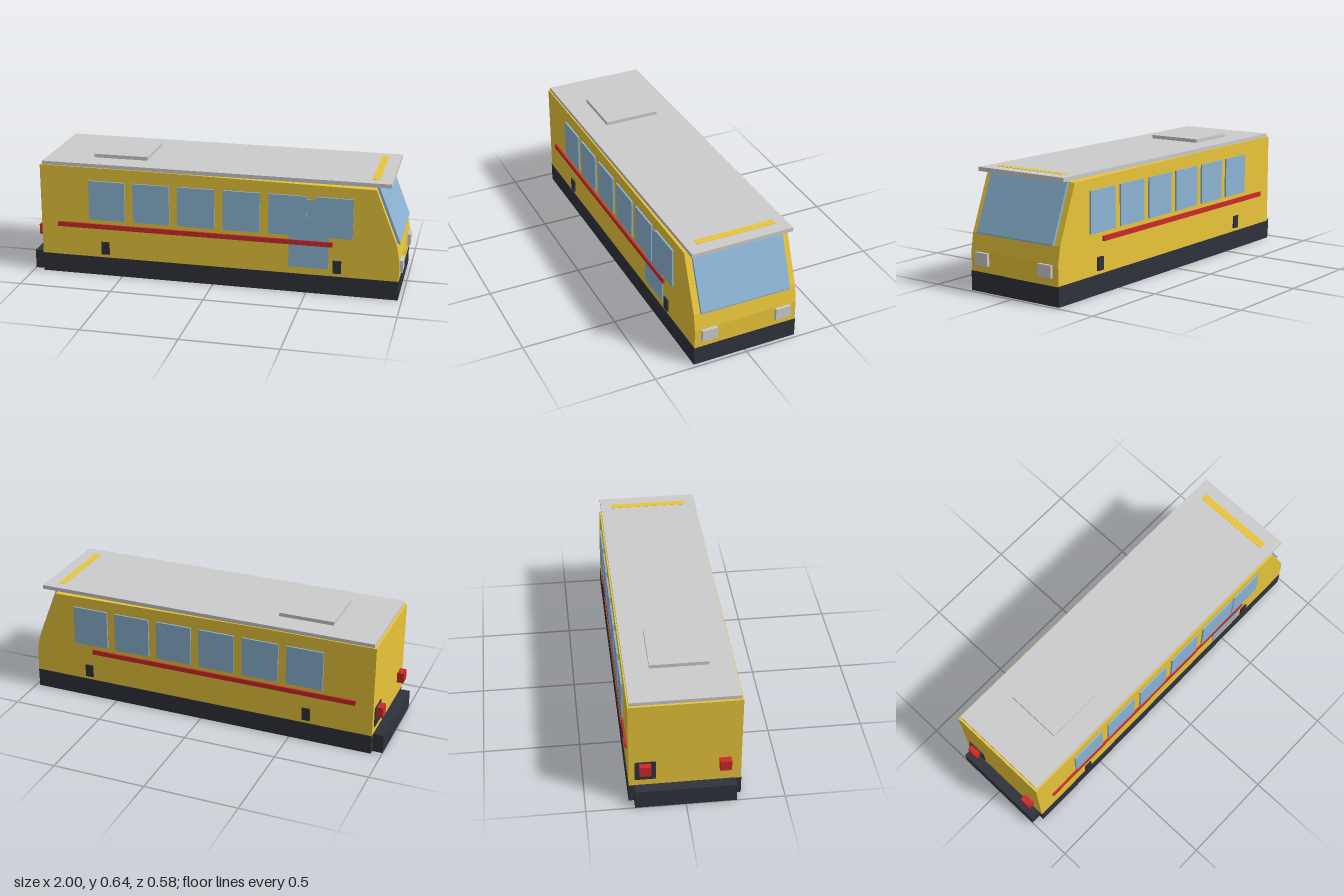
import * as THREE from 'three';

const mat = (color) => new THREE.MeshStandardMaterial({ color });

export function createModel() {
  const bus = new THREE.Group();
  const yellow = mat(0xe8c53a), blue = mat(0x8cb4d4), dark = mat(0x2f323c);
  const red = mat(0xcc2a2a), grey = mat(0xcccccc);

  const add = (name, geometry, material) => {
    const mesh = new THREE.Mesh(geometry, material);
    mesh.name = name;
    bus.add(mesh);
    return mesh;
  };
  // Box given by its lower and upper limits on each axis
  const box = (name, x0, x1, y0, y1, z0, z1, material) => {
    const mesh = add(name, new THREE.BoxGeometry(x1 - x0, y1 - y0, z1 - z0), material);
    mesh.position.set((x0 + x1) / 2, (y0 + y1) / 2, (z0 + z1) / 2);
    return mesh;
  };
  // Open rectangular frame standing on y0
  const frame = (name, x0, x1, y0, y1, halfZ, wall, material) => {
    const rect = (P, i) => new P([[x0 + i, -halfZ + i], [x1 - i, -halfZ + i], [x1 - i, halfZ - i], [x0 + i, halfZ - i]]
      .map(([x, z]) => new THREE.Vector2(x, z)));
    const shape = rect(THREE.Shape, 0);
    shape.holes.push(rect(THREE.Path, wall));
    const geometry = new THREE.ExtrudeGeometry(shape, { depth: y1 - y0, bevelEnabled: false });
    add(name, geometry.rotateX(-Math.PI / 2).translate(0, y0, 0), material);
  };
  // Side profile extruded across the width
  const acrossWidth = (name, points, halfZ, material) => {
    const shape = new THREE.Shape(points.map(([x, y]) => new THREE.Vector2(x, y)));
    const geometry = new THREE.ExtrudeGeometry(shape, { depth: halfZ * 2, bevelEnabled: false });
    add(name, geometry.translate(0, 0, -halfZ), material);
  };

  // Body with sloping front, windscreen
  acrossWidth('body', [[-0.945, 0.1], [0.98, 0.1], [0.98, 0.207], [0.965, 0.295],
    [0.85, 0.587], [-0.36, 0.601], [-0.945, 0.601]], 0.28, yellow);
  acrossWidth('windscreen', [[0.955, 0.295], [0.977, 0.295], [0.977, 0.302],
    [0.862, 0.592], [0.84, 0.588]], 0.245, blue);

  // Hollow skirt and rear bumper
  frame('skirt', -0.945, 0.98, 0, 0.102, 0.283, 0.015, dark);
  box('rearBumper', -1, -0.945, 0, 0.102, -0.255, 0.255, dark);

  // Roof: plate with a lip, hatch and front marker strip
  box('roof', -0.933, 0.925, 0.61, 0.62, -0.273, 0.273, grey);
  frame('roofLip', -0.933, 0.925, 0.599, 0.61, 0.273, 0.012, grey);
  box('roofHatch', -0.68, -0.385, 0.62, 0.639, -0.149, 0.149, grey);
  box('roofStrip', 0.82, 0.858, 0.58, 0.6215, -0.213, 0.213, yellow);

  // Side door
  box('door', 0.405, 0.615, 0.14, 0.512, 0.27, 0.284, blue);

  for (const s of [-1, 1]) {
    const side = (name, x0, x1, y0, y1, z0, z1, m) =>
      box(name, x0, x1, y0, y1, Math.min(s * z0, s * z1), Math.max(s * z0, s * z1), m);

    // Windows and stripe
    for (let i = 0; i < 6; i++) {
      const x = -0.675 + i * 0.243;
      side('sideWindow', x, x + 0.198, 0.315, 0.53, 0.27, 0.289, blue);
    }
    side('sideStripe', -0.852, 0.635, 0.264, 0.29, 0.27, 0.2895, red);

    // Lamps
    side('headlight', 0.96, 0.996, 0.14, 0.204, 0.162, 0.245, grey);
    side('tailLight', -0.981, -0.94, 0.187, 0.244, 0.17, 0.228, red);

    // Wheels under the floor, with axle ends on the sides
    for (const x of [-0.59, 0.66]) {
      side('axleEnd', x - 0.022, x + 0.022, 0.121, 0.19, 0.26, 0.2885, dark);
      const tyre = new THREE.CylinderGeometry(0.125, 0.125, 0.05, 8).rotateX(Math.PI / 2).rotateZ(Math.PI / 8);
      add('wheel', tyre, dark).position.set(x, 0.155, s * 0.19);
    }
  }

  // Dark plate behind one tail light
  box('rearPlate', -0.95, -0.94, 0.14, 0.25, -0.25, -0.145, dark);

  return bus;
}
